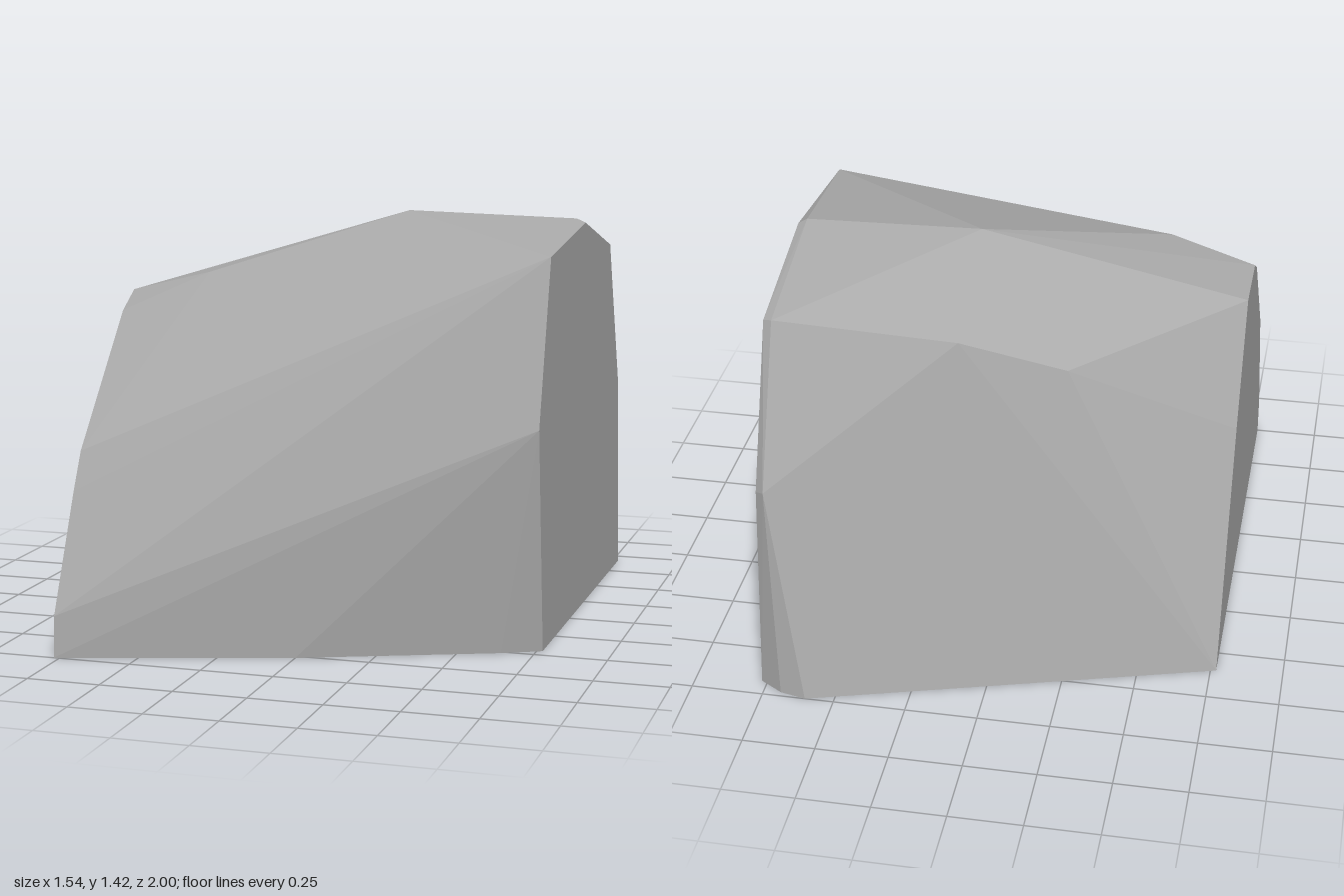
import * as THREE from 'three';
import { ConvexGeometry } from 'three/addons/geometries/ConvexGeometry.js';

const SIDE = 0.77; // half width between the two flat cut ends

// Cut ends as [y, z] outlines, walked from the front foot over the top to the back foot
const leftEnd = [
  [0, 0.45], [0.77, 0.55], [1.325, 0.4], [1.39, -0.17], [1.27, -0.64], [0.73, -0.85], [0, -0.93],
];
const rightEnd = [
  [0, 1.0], [0.14, 0.99], [0.53, 0.81], [0.655, 0.745], [1.088, 0.355], [1.15, 0.25],
  [1.15, -0.01], [0.77, -0.24], [0, -0.6],
];

// Corners between the ends as [x, y, z]
const crown = [[0.13, 1.42, -0.16], [0.74, 1.405, -0.16], [-0.47, 1.225, 0.29]];
const backRidge = [[-0.22, 1.09, -0.49], [0.13, 1.215, -0.585], [0.74, 1.277, -0.65], [0.74, 0.74, -0.87]];
const foot = [[-0.2, 0, 0.83], [0, 0, 0.77], [0.64, 0, 0.515], [0.6, 0, -1.0], [0.69, 0, -0.98]];

export function createModel() {
  const stone = new THREE.MeshStandardMaterial({ color: 0xaaaaaa, flatShading: true });
  stone.name = 'stone grey';

  // Faceted boulder: convex skin over the ends, crown, ridge and foot
  const corners = [
    ...leftEnd.map(([y, z]) => [SIDE, y, z]),
    ...rightEnd.map(([y, z]) => [-SIDE, y, z]),
    ...crown, ...backRidge, ...foot,
  ].map((p) => new THREE.Vector3(...p));

  const boulder = new THREE.Mesh(new ConvexGeometry(corners), stone);
  boulder.name = 'boulder';

  const model = new THREE.Group();
  model.name = 'rock';
  model.add(boulder);
  return model;
}
